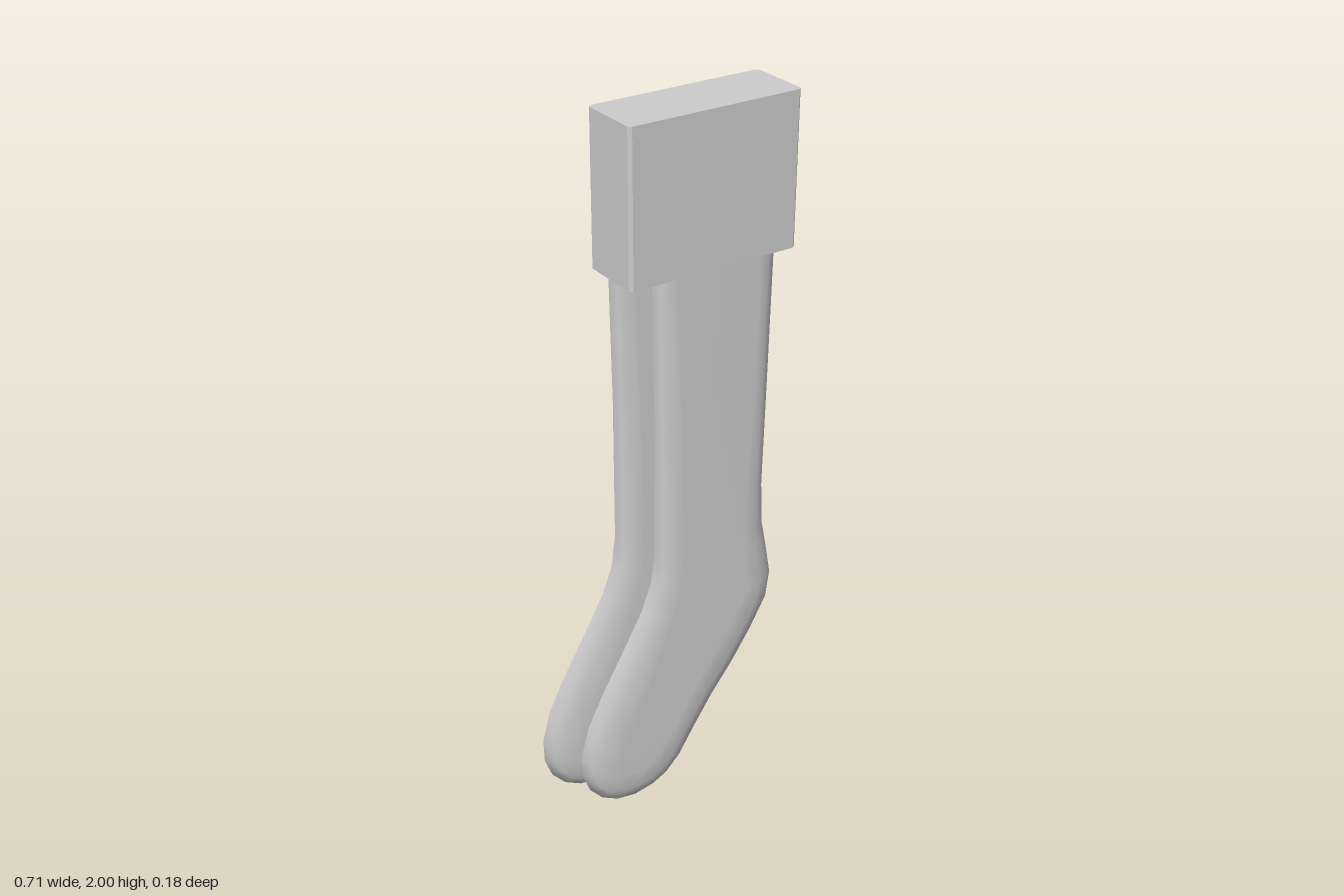
import * as THREE from 'three';

// Half outline of a sock seen from the front, counter-clockwise from the top left
const OUTLINE = [
  [-0.045, 1.92], [-0.04, 1.55], [-0.033, 1.2], [-0.033, 0.8], [-0.045, 0.71], [-0.075, 0.63],
  [-0.13, 0.53], [-0.2, 0.41], [-0.25, 0.31], [-0.274, 0.22], [-0.272, 0.15], [-0.25, 0.09],
  [-0.21, 0.043], [-0.16, 0.014], [-0.1, 0.003], [-0.04, 0.013], [0.005, 0.035], [0.05, 0.08],
  [0.1, 0.16], [0.16, 0.25], [0.23, 0.34], [0.29, 0.43], [0.34, 0.52], [0.351, 0.6],
  [0.335, 0.69], [0.317, 0.78], [0.312, 0.9], [0.318, 1.2], [0.324, 1.55], [0.326, 1.92],
].map(([x, y]) => new THREE.Vector2(x, y));

// Rings from the pointed seam inward: [inset, share of the half thickness]
const RINGS = [[0, 0], [0.025, 0.48], [0.055, 0.86], [0.1, 1]];

function insetOutline(distance) {
  const n = OUTLINE.length;
  return OUTLINE.map((p, i) => {
    const a = p.clone().sub(OUTLINE[(i + n - 1) % n]).normalize();
    const b = OUTLINE[(i + 1) % n].clone().sub(p).normalize();
    const t = a.add(b).normalize();
    const d = distance * (1 - 0.4 * THREE.MathUtils.smoothstep(p.y, 0.5, 1)); // tighter on the leg
    return new THREE.Vector2(p.x - t.y * d, p.y + t.x * d);
  });
}

// Flat sock: a padded slab whose two faces meet in a seam
function sockGeometry() {
  const n = OUTLINE.length;
  const positions = [], index = [];
  const rings = RINGS.map(([d]) => insetOutline(d));
  const halfThickness = (y) => 0.033 - 0.005 * THREE.MathUtils.smoothstep(y, 0.4, 1);
  const addRing = (r, side) => {
    const start = positions.length / 3;
    for (const p of rings[r]) positions.push(p.x, p.y, side * RINGS[r][1] * halfThickness(p.y));
    return start;
  };
  const seam = addRing(0, 0);
  for (const side of [1, -1]) {
    const tri = (a, b, c) => (side > 0 ? index.push(a, b, c) : index.push(a, c, b));
    let outer = seam;
    for (let r = 1; r < rings.length; r++) {
      const inner = addRing(r, side);
      for (let i = 0; i < n; i++) {
        const j = (i + 1) % n;
        tri(outer + i, outer + j, inner + j);
        tri(outer + i, inner + j, inner + i);
      }
      outer = inner;
    }
    for (const [a, b, c] of THREE.ShapeUtils.triangulateShape(rings[rings.length - 1], [])) {
      tri(outer + a, outer + b, outer + c);
    }
  }
  const geometry = new THREE.BufferGeometry();
  geometry.setAttribute('position', new THREE.Float32BufferAttribute(positions, 3));
  geometry.setIndex(index);
  geometry.computeVertexNormals();
  return geometry;
}

// Rectangle with cut corners
function chamferedRect(PathType, hx, hz, c) {
  const corners = [
    [hx - c, -hz], [hx, -hz + c], [hx, hz - c], [hx - c, hz],
    [-hx + c, hz], [-hx, hz - c], [-hx, -hz + c], [-hx + c, -hz],
  ];
  return new PathType(corners.map(([x, y]) => new THREE.Vector2(x, y)));
}

function slab(shape, y, height) {
  const geometry = new THREE.ExtrudeGeometry(shape, { depth: height, bevelEnabled: false });
  return geometry.rotateX(-Math.PI / 2).translate(0.1, y, 0);
}

export function createModel() {
  const group = new THREE.Group();
  const material = new THREE.MeshStandardMaterial({ color: 0xcccccc });
  const add = (name, geometry, x = 0, y = 0, z = 0) => {
    const mesh = new THREE.Mesh(geometry, material);
    mesh.name = name;
    mesh.position.set(x, y, z);
    group.add(mesh);
  };

  // Pair of socks, the rear one shifted sideways and up
  const sock = sockGeometry();
  add('frontSock', sock, 0, -0.003, 0.023);
  add('backSock', sock, -0.081, 0.045, -0.043);

  // Band around the sock tops, open underneath
  const wall = chamferedRect(THREE.Shape, 0.242, 0.088, 0.008);
  wall.holes.push(chamferedRect(THREE.Path, 0.234, 0.08, 0.006));
  add('bandWall', slab(wall, 1.6, 0.38));
  add('bandTop', slab(chamferedRect(THREE.Shape, 0.242, 0.088, 0.008), 1.98, 0.02));

  return group;
}
